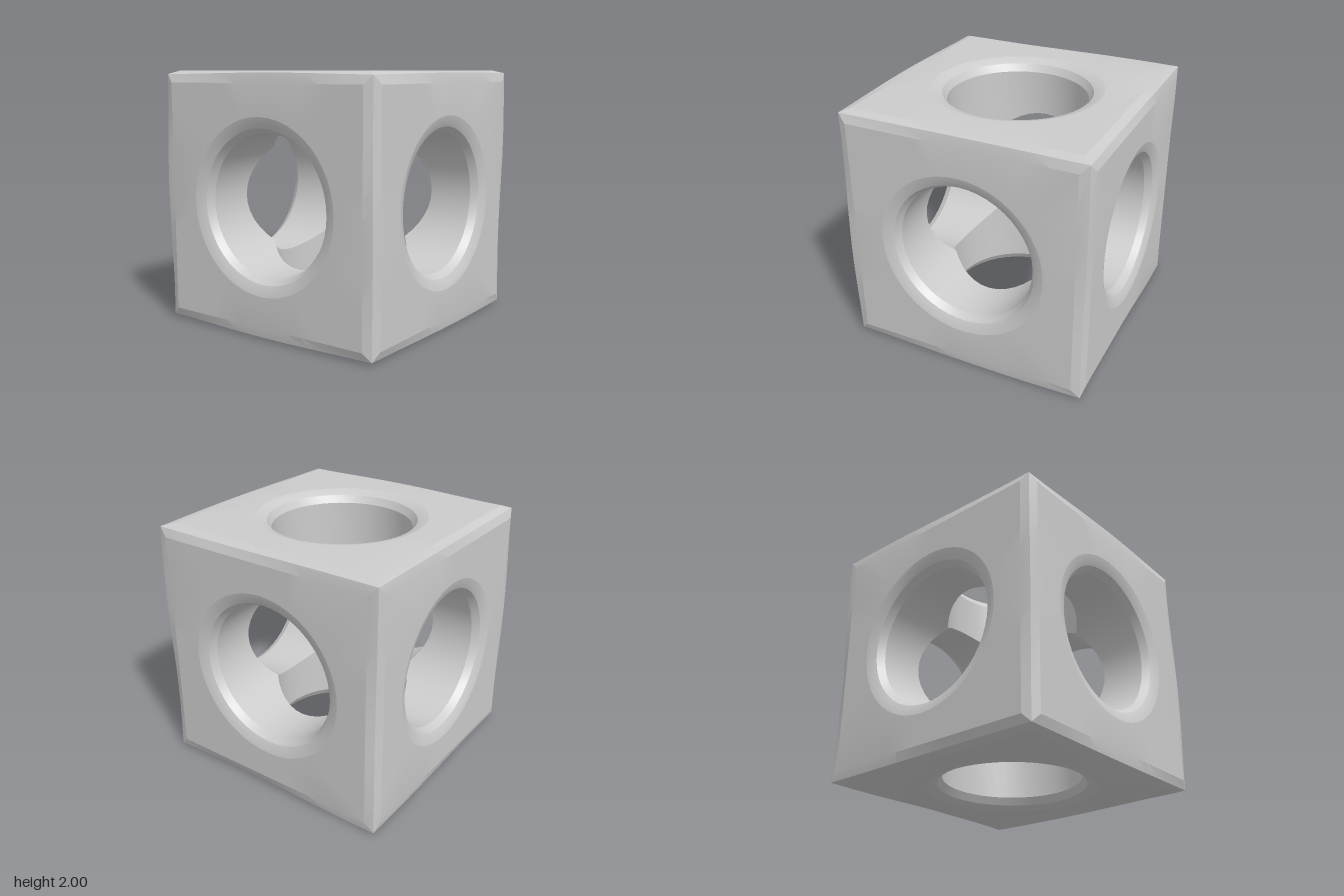
import * as THREE from 'three';
import { toCreasedNormals } from 'three/addons/utils/BufferGeometryUtils.js';

const R = 0.55;      // bore radius
const SEGMENTS = 48; // divisible by 8, so the square's corners are hit exactly
const EDGE = 0.98;   // worn cube edge

// Cross-section from the inner bore rim, over the worn lip, to the cube edge
function section(t) {
  const c = Math.cos(t), s = Math.sin(t);
  const m = Math.max(Math.abs(c), Math.abs(s));
  const round = (r, z) => new THREE.Vector3(r * c, r * s, z);
  const square = (h, z) => round(h / m, z);
  return [
    round(R, R * m),       // where this bore meets the crossing bores
    round(R, 0.91),        // bore wall
    round(0.585, 0.968),   // steep lip
    round(0.625, 0.988),
    round(0.67, 1),        // soft rim on the face
    square(0.91, 1),       // flat face
    square(EDGE, EDGE),    // bevel down to the shared edge
  ];
}

// Slight, regular wander of the worn edges; the same on both sides of an edge
function wear(p) {
  const k = 0.007 * Math.sin(2.1 * p.x + 3.3 * p.y - 2.7 * p.z + 0.6);
  return p.multiplyScalar(1 + k);
}

function sideGeometry(rotation) {
  const points = [];
  let rings = 0;
  for (let j = 0; j < SEGMENTS; j++) {
    const profile = section((j / SEGMENTS) * Math.PI * 2);
    rings = profile.length;
    profile.forEach((p, i) => {
      p.applyEuler(rotation);
      if (i === rings - 1) wear(p);
      points.push(p);
    });
  }
  const index = [];
  for (let j = 0; j < SEGMENTS; j++) {
    const a = j * rings, b = ((j + 1) % SEGMENTS) * rings;
    for (let i = 0; i < rings - 1; i++) {
      index.push(a + i, a + i + 1, b + i + 1, a + i, b + i + 1, b + i);
    }
  }
  const geometry = new THREE.BufferGeometry().setFromPoints(points);
  geometry.setIndex(index);
  return toCreasedNormals(geometry, 0.22);
}

export function createModel() {
  const group = new THREE.Group();
  group.name = 'boredCube';
  const material = new THREE.MeshStandardMaterial({ color: 0xcccccc });
  const q = Math.PI / 2;

  // Six like sides, each a face with its half of a bore
  const sides = {
    frontSide: [0, 0], leftSide: [0, q], backSide: [0, 2 * q],
    rightSide: [0, -q], topSide: [-q, 0], bottomSide: [q, 0],
  };
  for (const [name, [rx, ry]] of Object.entries(sides)) {
    const mesh = new THREE.Mesh(sideGeometry(new THREE.Euler(rx, ry, 0)), material);
    mesh.name = name;
    mesh.position.y = 1;
    group.add(mesh);
  }
  return group;
}
